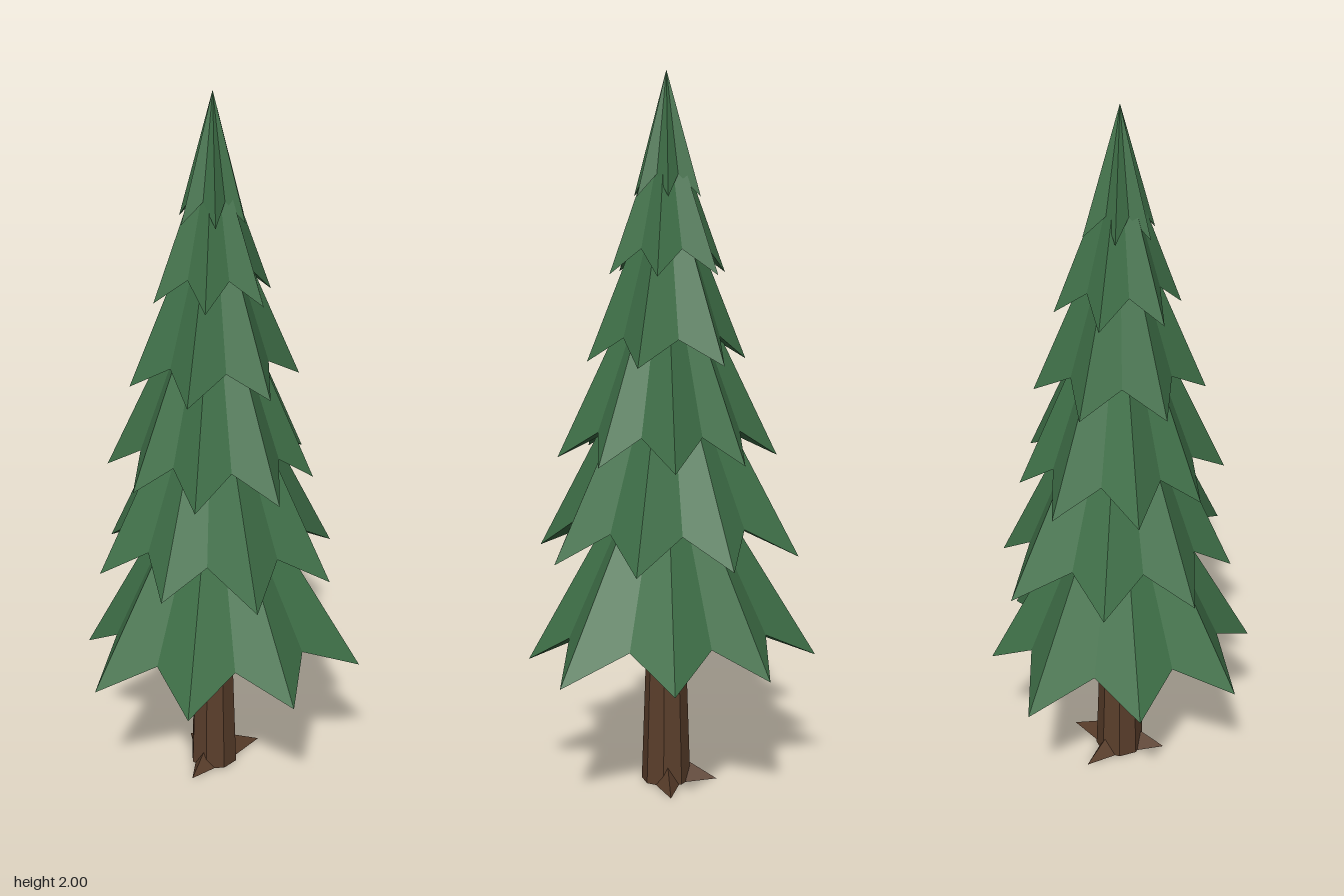
import * as THREE from 'three';

const CX = -0.025, CZ = -0.005; // trunk axis

// Each tier: tip height, notch height, apex height, first tip angle (deg), notch ratio, tip radii
const TIERS = [
  { tip: 0.36, notch: 0.45, apex: 1.06, start: 13.5, ratio: 0.73, radii: [0.427, 0.39, 0.387, 0.405, 0.377, 0.428, 0.377, 0.393] },
  { tip: 0.67, notch: 0.76, apex: 1.37, start: 29.5, ratio: 0.73, radii: [0.36, 0.369, 0.318, 0.336, 0.336, 0.377, 0.338, 0.359] },
  { tip: 0.94, notch: 1.02, apex: 1.59, start: 12.5, ratio: 0.72, radii: [0.28, 0.304, 0.298, 0.269, 0.303, 0.312, 0.281, 0.315] },
  { tip: 1.21, notch: 1.28, apex: 1.77, start: -10, ratio: 0.67, radii: [0.244, 0.223, 0.234, 0.233, 0.227, 0.234] },
  { tip: 1.45, notch: 1.52, apex: 1.9, start: -20, ratio: 0.65, radii: [0.171, 0.167, 0.168, 0.172, 0.177, 0.178] },
  { tip: 1.66, notch: 1.72, apex: 2.0, start: 29, ratio: 0.58, radii: [0.095, 0.1, 0.1, 0.1, 0.105, 0.1] },
];

function flatGeometry(triangles) {
  const geometry = new THREE.BufferGeometry().setFromPoints(triangles);
  geometry.computeVertexNormals();
  return geometry;
}

// Star-shaped cone with drooping tips and a hollowed underside
function tierGeometry({ tip, notch, apex, start, ratio, radii }) {
  const n = radii.length, rim = [];
  for (let i = 0; i < n * 2; i++) {
    const k = Math.floor(i / 2), isTip = i % 2 === 0;
    const mean = (radii[k] + radii[(k + 1) % n]) / 2;
    const r = isTip ? radii[k] : mean * ratio;
    const a = THREE.MathUtils.degToRad(start + (i * 180) / n);
    rim.push(new THREE.Vector3(r * Math.cos(a), isTip ? tip : notch, r * Math.sin(a)));
  }
  const top = new THREE.Vector3(0, apex, 0);
  const under = new THREE.Vector3(0, notch + 0.07, 0);
  const triangles = [];
  rim.forEach((p, i) => {
    const q = rim[(i + 1) % rim.length];
    triangles.push(top, q, p, under, p, q);
  });
  return flatGeometry(triangles);
}

// Wedge-shaped root spreading from the trunk to a tip on the ground
function rootGeometry(x, z) {
  const tip = new THREE.Vector3(x, 0, z);
  const dir = tip.clone().normalize();
  const side = new THREE.Vector3(-dir.z, 0, dir.x).multiplyScalar(0.035);
  const base = dir.clone().multiplyScalar(0.05);
  const a = base.clone().add(side), b = base.clone().sub(side);
  const ridge = base.clone().setY(0.06);
  return flatGeometry([ridge, tip, b, ridge, a, tip, a, b, tip, ridge, b, a]);
}

export function createModel() {
  const model = new THREE.Group();
  model.name = 'pineTree';
  const needles = new THREE.MeshStandardMaterial({ color: 0x3f7048, flatShading: true });
  needles.name = 'needleGreen';
  const bark = new THREE.MeshStandardMaterial({ color: 0x5a3e2b, flatShading: true });
  bark.name = 'barkBrown';

  const add = (name, geometry, material) => {
    const mesh = new THREE.Mesh(geometry, material);
    mesh.name = name;
    mesh.position.set(CX, 0, CZ);
    model.add(mesh);
  };

  // Tapered trunk
  const trunk = new THREE.CylinderGeometry(0.036, 0.07, 1, 8);
  trunk.rotateY(Math.PI / 8).translate(0, 0.5, 0);
  add('trunk', trunk, bark);

  // Three roots
  [[0.14, -0.09], [-0.07, 0.115], [-0.065, -0.13]].forEach(([x, z], i) =>
    add(`root${i + 1}`, rootGeometry(x, z), bark));

  // Branch tiers, bottom to top
  TIERS.forEach((tier, i) => add(`branchTier${i + 1}`, tierGeometry(tier), needles));
  return model;
}
